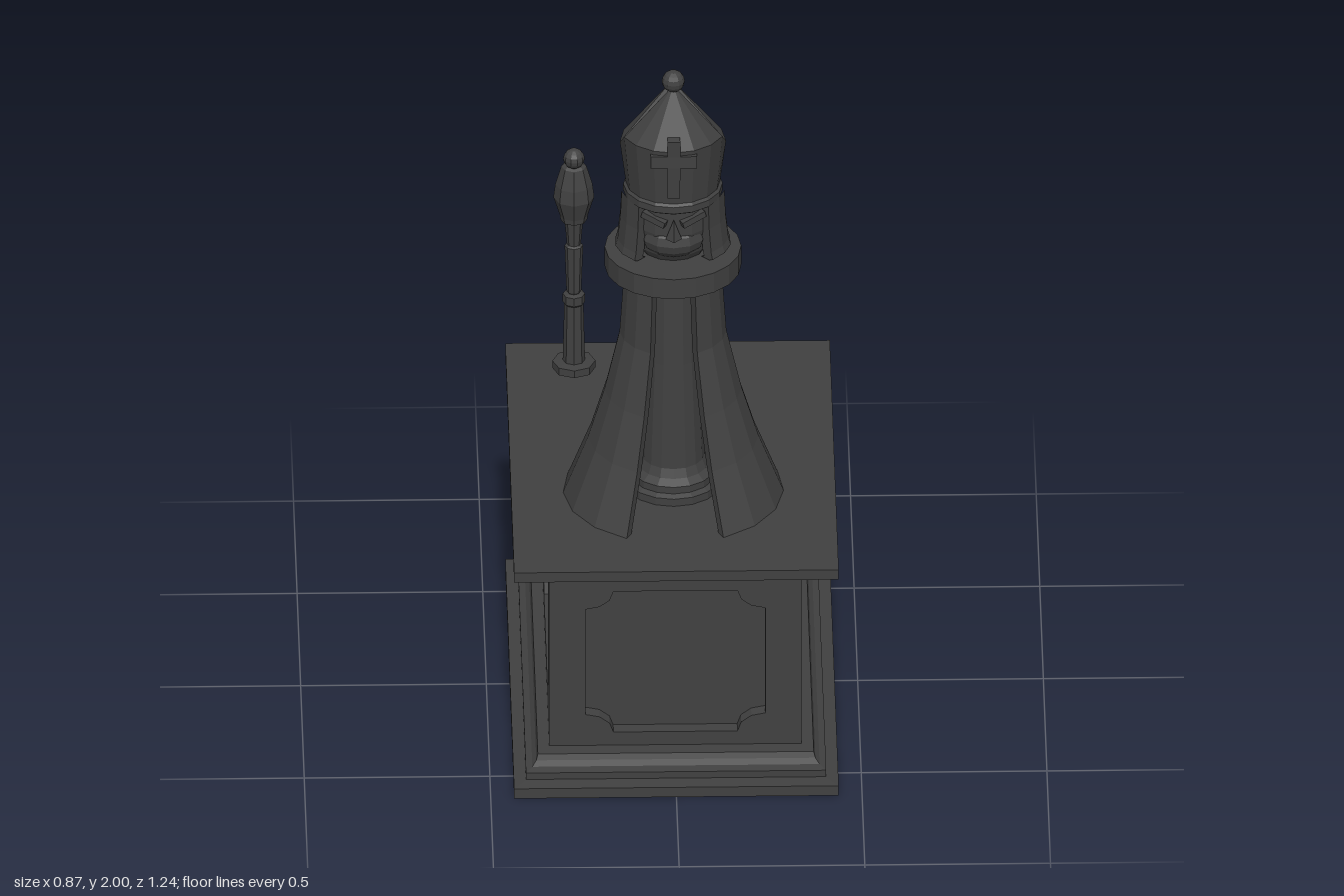
import * as THREE from 'three';

const material = new THREE.MeshStandardMaterial({ color: 0x404040, flatShading: true });
const V = (x, y, z) => new THREE.Vector3(x, y, z);
const deg = Math.PI / 180;

function mesh(name, geometry, x = 0, y = 0, z = 0) {
  const m = new THREE.Mesh(geometry, material);
  m.name = name;
  m.position.set(x, y, z);
  return m;
}

// geometry from a list of triangle corners
function facets(corners) {
  const g = new THREE.BufferGeometry().setFromPoints(corners);
  g.computeVertexNormals();
  return g;
}

// skin over closed rings listed bottom to top
function loft(rings) {
  const out = [];
  for (let i = 0; i < rings.length - 1; i++) {
    const lo = rings[i], hi = rings[i + 1], n = lo.length;
    for (let j = 0; j < n; j++) {
      const k = (j + 1) % n;
      out.push(lo[j], lo[k], hi[k], lo[j], hi[k], hi[j]);
    }
  }
  return out;
}

// faceted turning from [radius, height] pairs
const turned = (pairs, sides) =>
  new THREE.LatheGeometry(pairs.map(([r, y]) => new THREE.Vector2(r, y)), sides);

// C-shaped shell open at the front; profile rows are [y, radius, centre z]
function openShell(profile, gap, thickness, segs, sx = 1) {
  const rings = profile.map(([y, r, cz]) => {
    const outer = [], inner = [];
    for (let j = 0; j <= segs; j++) {
      const t = (gap + (360 - 2 * gap) * j / segs) * deg;
      const at = (q) => V(q * sx * Math.sin(t), y, cz + q * Math.cos(t));
      outer.push(at(r));
      inner.unshift(at(r - thickness));
    }
    return [...outer, ...inner];
  });
  return facets(loft(rings));
}

// rectangular moulding from [scale, height] pairs
function moulding(pairs) {
  return facets(loft(pairs.map(([f, y]) => {
    const x = 0.437 * f, z = 0.622 * f;
    return [V(-x, y, z), V(x, y, z), V(x, y, -z), V(-x, y, -z)];
  })));
}

// pedestal wall with a notched panel opening
function wall(width, panelHalf, depth) {
  const y0 = 0.08, y1 = 0.62, w = width / 2;
  const s = new THREE.Shape([[-w, y0], [w, y0], [w, y1], [-w, y1]].map(p => new THREE.Vector2(...p)));
  const pts = [];
  const cy = 0.343, h = 0.218, nx = 0.075, ny = 0.055;
  for (const [a, b, flip] of [[1, 1, 0], [-1, 1, 1], [-1, -1, 0], [1, -1, 1]]) {
    const c = [];
    for (let i = 0; i <= 3; i++) {
      const t = i * 30 * deg;
      c.push(new THREE.Vector2(a * (panelHalf - nx * Math.sin(t)), cy + b * (h - ny * Math.cos(t))));
    }
    pts.push(...(flip ? c.reverse() : c));
  }
  s.holes.push(new THREE.Path(pts));
  return new THREE.ExtrudeGeometry(s, { depth, bevelEnabled: false });
}

function pedestal() {
  const g = new THREE.Group();
  g.name = 'pedestal';
  g.add(mesh('baseMoulding', moulding([[0, 0], [1, 0], [1, 0.03], [0.925, 0.032], [0.925, 0.052],
    [0.885, 0.057], [0.86, 0.068], [0.85, 0.084], [0.7, 0.085]])));
  g.add(mesh('cornice', moulding([[0.7, 0.615], [0.82, 0.615], [0.83, 0.63], [0.86, 0.642], [0.91, 0.648],
    [0.93, 0.66], [0.935, 0.668], [1, 0.67], [1, 0.7], [0, 0.7]])));
  const d = 0.04, hx = 0.34, hz = 0.485;
  g.add(mesh('recessedPanels', new THREE.BoxGeometry(2 * (hx - d), 0.54, 2 * (hz - d)), 0, 0.35, 0));
  for (let i = 0; i < 4; i++) {
    const side = i % 2;
    const w = mesh('panelFrame', side ? wall(2 * (hz - d), 0.342, d) : wall(2 * hx, 0.242, d));
    w.geometry.translate(0, 0, (side ? hx : hz) - d);
    w.rotation.y = i * Math.PI / 2;
    g.add(w);
  }
  return g;
}

function mitre() {
  const n = 16, cz = 0.133;
  const ring = (r, y) => Array.from({ length: n }, (_, j) => {
    const t = j / n * 2 * Math.PI;
    const yy = typeof y === 'function' ? y(j) : y;
    return V(r * Math.sin(t), yy, cz + r * Math.cos(t));
  });
  const rimHeight = (j) => (j % 8 === 4 ? 1.755 : j > 4 && j < 12 ? 1.76 : 1.8);
  const rim = ring(0.143, rimHeight);
  const corners = loft([ring(0.1, 1.6), ring(0.127, 1.6), ring(0.134, 1.605), ring(0.134, 1.625),
    ring(0.127, 1.632), rim]);
  // front and back peaks with the cleft between them
  const front = V(0, 1.955, 0.18), back = V(0, 1.9, 0.055), cleft = V(0, 1.75, 0.117);
  for (let j = 0; j < n; j++) corners.push(rim[j], rim[(j + 1) % n], j >= 4 && j < 12 ? back : front);
  corners.push(rim[4], cleft, front, cleft, rim[12], front, rim[12], cleft, back, cleft, rim[4], back);

  const g = new THREE.Group();
  g.name = 'mitre';
  g.add(mesh('hat', facets(corners)));
  g.add(mesh('finial', new THREE.SphereGeometry(0.031, 12, 8), 0, 1.969, 0.18));
  const upright = mesh('crossUpright', new THREE.BoxGeometry(0.034, 0.18, 0.025), 0, 1.745, 0.261);
  const arm = mesh('crossArm', new THREE.BoxGeometry(0.125, 0.036, 0.04), 0, 1.77, 0.256);
  upright.rotation.x = 0.06;
  g.add(upright, arm);
  return g;
}

function head() {
  const g = new THREE.Group();
  g.name = 'head';
  g.add(mesh('face', turned([[0.07, 1.4], [0.1, 1.45], [0.115, 1.52], [0.115, 1.62]], 14), 0, 0, 0.125));
  g.add(mesh('hair', openShell([[1.435, 0.13, 0.125], [1.44, 0.14, 0.125], [1.46, 0.135, 0.125],
    [1.53, 0.128, 0.125], [1.61, 0.125, 0.128]], 42, 0.03, 14, 1.12)));
  const beard = mesh('beard', new THREE.SphereGeometry(0.09, 12, 8), 0, 1.49, 0.17);
  beard.scale.set(1, 0.65, 0.9);
  g.add(beard);
  g.add(mesh('nose', new THREE.ConeGeometry(0.022, 0.06, 4), 0, 1.545, 0.245));
  for (const s of [-1, 1]) {
    const brow = mesh('brow', new THREE.BoxGeometry(0.07, 0.018, 0.03), s * 0.05, 1.57, 0.225);
    brow.rotation.set(0, s * 0.45, s * 0.3);
    g.add(brow);
  }
  return g;
}

function staff() {
  const g = new THREE.Group();
  g.name = 'staff';
  g.add(mesh('shaft', turned([[0, 1], [0.058, 1], [0.058, 1.022], [0.03, 1.025], [0.026, 1.2], [0.03, 1.205],
    [0.03, 1.23], [0.017, 1.235], [0.02, 1.24], [0.025, 1.38], [0.019, 1.385], [0.025, 1.46]], 8)));
  g.add(mesh('staffHead', turned([[0, 1.455], [0.036, 1.46], [0.038, 1.475], [0.055, 1.53],
    [0.05, 1.57], [0.034, 1.625], [0.015, 1.64], [0, 1.64]], 8)));
  g.add(mesh('staffKnob', new THREE.SphereGeometry(0.029, 10, 8), 0, 1.656, 0.012));
  g.position.set(-0.265, 0, 0.036);
  return g;
}

export function createModel() {
  const model = new THREE.Group();
  model.name = 'bishopOnPedestal';
  model.add(pedestal());
  model.add(mesh('robe', openShell([[0.7, 0.297, 0.175], [0.86, 0.23, 0.158], [1.0, 0.185, 0.145],
    [1.17, 0.144, 0.132], [1.38, 0.13, 0.13]], 26, 0.03, 15)));
  model.add(mesh('column', turned([[0.13, 0.7], [0.13, 0.722], [0.115, 0.73], [0.115, 0.75], [0.095, 0.765],
    [0.085, 0.79], [0.07, 1.1], [0.065, 1.38]], 16), 0, 0, 0.14));
  model.add(mesh('collar', new THREE.CylinderGeometry(0.184, 0.184, 0.06, 20), 0, 1.4, 0.133));
  model.add(head(), mitre(), staff());
  return model;
}
